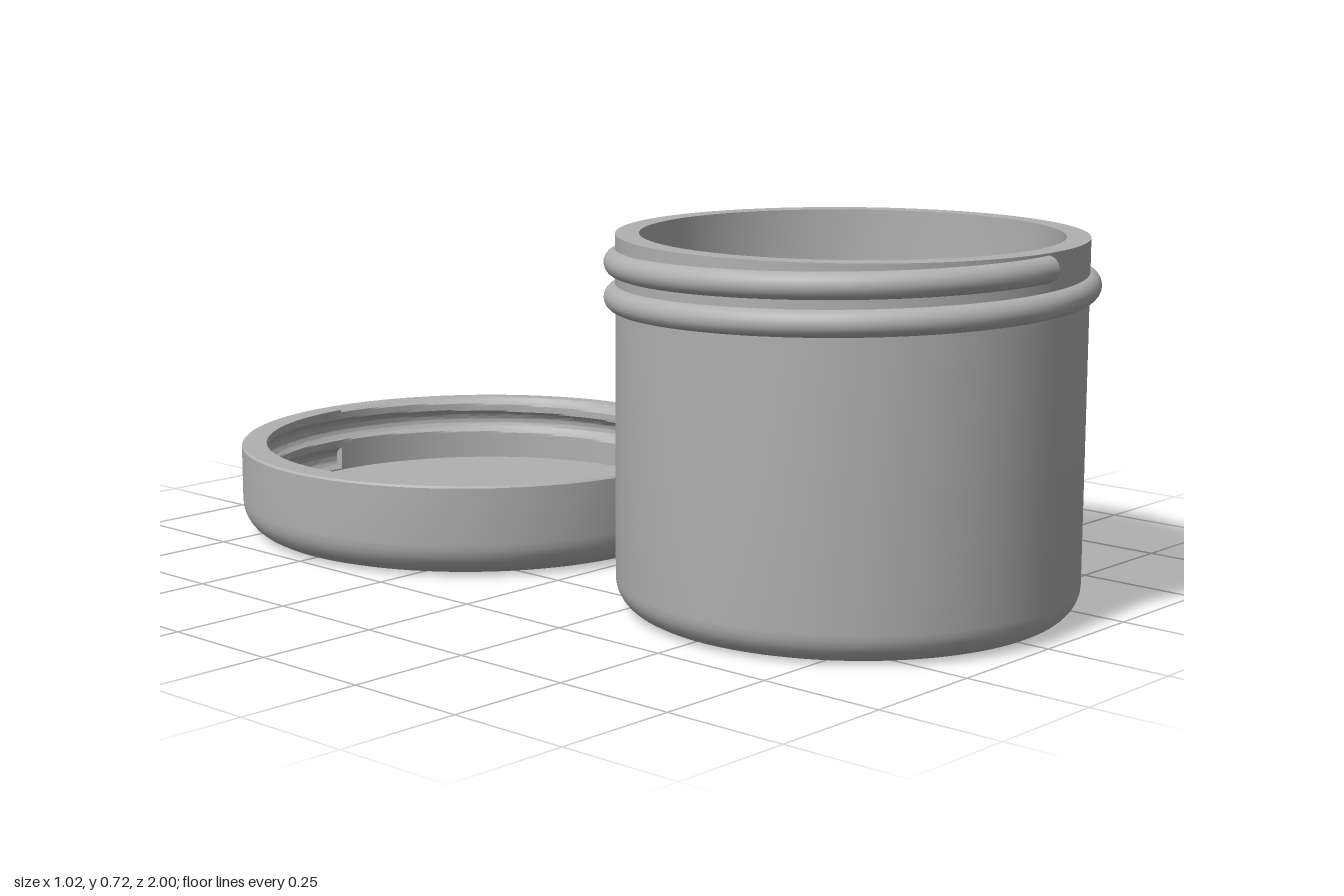
import * as THREE from 'three';
import { toCreasedNormals } from 'three/addons/utils/BufferGeometryUtils.js';

const TAU = Math.PI * 2;
const PITCH = 0.066;      // rise of the screw thread per turn
const THREAD_R = 0.025;   // thread cross-section radius

const plastic = new THREE.MeshStandardMaterial({ color: 0xb0b0b0, side: THREE.DoubleSide });
plastic.name = 'grey plastic';

function part(name, geometry) {
  const mesh = new THREE.Mesh(geometry, plastic);
  mesh.name = name;
  return mesh;
}

// quarter-round points about (cx, cy), from angle a0 to a1
function arc(cx, cy, r, a0, a1, n = 8) {
  return Array.from({ length: n + 1 }, (_, i) => {
    const a = a0 + (a1 - a0) * i / n;
    return [cx + r * Math.cos(a), cy + r * Math.sin(a)];
  });
}

// point on a circle about y; angle 0 is the front, a quarter turn is +x
const around = (r, y, a) => new THREE.Vector3(r * Math.sin(a), y, r * Math.cos(a));

class Helix extends THREE.Curve {
  getPoint(t, target = new THREE.Vector3()) {
    return target.copy(around(0.442, 0.592 + PITCH * 1.5 * t, Math.PI + 1.5 * TAU * t));
  }
}

function buildJar() {
  const jar = new THREE.Group();
  jar.name = 'jar';

  // rounded base, outer wall, flat rim, inner wall and rounded floor
  const profile = [
    [0, 0], ...arc(0.385, 0.06, 0.06, -Math.PI / 2, 0),
    [0.445, 0.72], [0.4, 0.72],
    ...arc(0.37, 0.08, 0.03, 0, -Math.PI / 2), [0, 0.05],
  ].map(([x, y]) => new THREE.Vector2(x, y));
  jar.add(part('jarBody', toCreasedNormals(new THREE.LatheGeometry(profile, 128), 0.6)));

  // one and a half turns of raised thread with flat ends
  const helix = new Helix();
  jar.add(part('jarThread', new THREE.TubeGeometry(helix, 220, THREAD_R, 20)));
  for (const t of [0, 1]) {
    const cap = part('threadEnd', new THREE.CircleGeometry(THREAD_R, 24));
    const out = helix.getTangent(t).multiplyScalar(t ? 1 : -1);
    cap.position.copy(helix.getPoint(t));
    cap.quaternion.setFromUnitVectors(new THREE.Vector3(0, 0, 1), out);
    jar.add(cap);
  }
  return jar;
}

// inner radius of the lid wall, cut by a helical groove that runs out at the rim
function lidRadius(y, turn) {
  let r = 0.457;
  for (const k of [0, 1]) {
    const dy = y - (0.078 + PITCH * (turn + k));
    if (Math.abs(dy) < THREAD_R) r = Math.max(r, 0.45 + Math.sqrt(THREAD_R ** 2 - dy ** 2));
  }
  return r;
}

// grid of points joined into a surface, facing (row direction) x (column direction)
function gridSurface(columns) {
  const rows = columns[0].length;
  const index = [];
  for (let c = 0; c < columns.length - 1; c++) {
    for (let r = 0; r < rows - 1; r++) {
      const a = c * rows + r, b = a + rows;
      index.push(a, a + 1, b, b, a + 1, b + 1);
    }
  }
  const geometry = new THREE.BufferGeometry().setFromPoints(columns.flat());
  geometry.setIndex(index);
  return toCreasedNormals(geometry, 0.6);
}

function buildLid() {
  const lid = new THREE.Group();
  lid.name = 'lid';
  const FLOOR = 0.05, TOP = 0.19, ROWS = 48, COLS = 144;

  const wall = turn => Array.from({ length: ROWS + 1 }, (_, i) => {
    const y = FLOOR + (TOP - FLOOR) * i / ROWS;
    return [lidRadius(y, turn), y];
  });

  // floor, grooved wall, rim, outer wall, rounded edge and underside
  const columns = [];
  for (let c = 0; c <= COLS; c++) {
    const turn = c / COLS;
    const profile = [
      [0, FLOOR], ...wall(turn),
      [0.506, TOP], [0.51, TOP - 0.004],
      ...arc(0.44, 0.07, 0.07, 0, -Math.PI / 2), [0, 0],
    ];
    columns.push(profile.map(([r, y]) => around(r, y, Math.PI + TAU * turn)));
  }
  lid.add(part('lidBody', gridSurface(columns)));

  // flat faces closing both ends of the groove at the back
  const ends = [0, 1].map(turn => wall(turn).map(([r, y]) => around(r, y, Math.PI)));
  lid.add(part('grooveEnds', gridSurface(ends)));
  return lid;
}

export function createModel() {
  const model = new THREE.Group();
  model.name = 'screwTopJar';
  const jar = buildJar();
  jar.position.z = 0.535;
  const lid = buildLid();
  lid.position.z = -0.49;
  model.add(jar, lid);
  return model;
}
